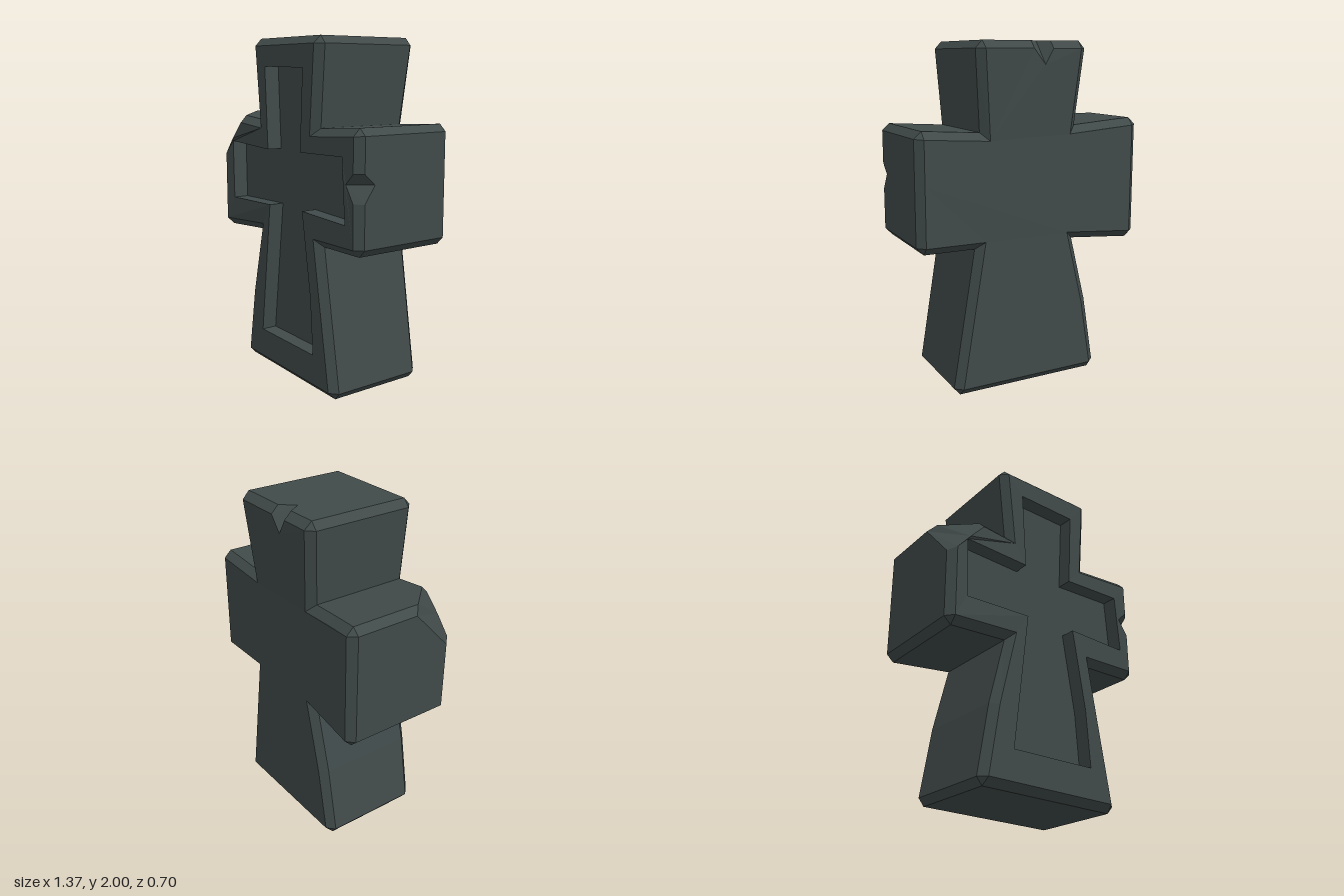
import * as THREE from 'three';

const BEVEL = 0.043;
const V2 = (x, y) => new THREE.Vector2(x, y);

// Cross outline, counter-clockwise from the top right: x, y, front z, back z, convex
const corners = [
  [0.345, 2.0, 0.34, -0.352, 1], [-0.335, 2.0, 0.34, -0.345, 1],
  [-0.288, 1.528, 0.34, -0.315, 0],
  [-0.685, 1.565, 0.352, -0.345, 1], [-0.685, 0.838, 0.352, -0.345, 1],
  [-0.285, 0.86, 0.34, -0.31, 0],
  [-0.46, 0.025, 0.34, -0.30, 1], [0.475, 0.0, 0.34, -0.30, 1],
  [0.335, 0.855, 0.34, -0.305, 0],
  [0.68, 0.855, 0.34, -0.31, 1], [0.68, 1.53, 0.34, -0.31, 1],
  [0.303, 1.507, 0.34, -0.31, 0],
];

// Extra points on the edge after a corner; overrides carve the chips
const extras = {
  0: [ // notch in the top back edge
    { x: 0.01, y: 2 }, { x: -0.06, y: 2, backSideZ: -0.23, back: [-0.06, 1.87] }, { x: -0.11, y: 2 },
  ],
  2: [{ x: -0.47, y: 1.545, front: [-0.465, 1.502] }], // broken arm corner
  3: [{ x: -0.685, y: 1.28, front: [-0.642, 1.3] }],
  5: [{ x: -0.383, y: 0.47 }],
  9: [ // notch in the arm's front edge
    { x: 0.68, y: 1.14 }, { x: 0.68, y: 1.235, frontSideZ: 0.23, front: [0.575, 1.235] }, { x: 0.68, y: 1.295 },
  ],
};

// Carved panel outline
const panel = [
  [0.195, 1.83], [-0.185, 1.838], [-0.163, 1.36], [-0.57, 1.382], [-0.565, 1.025], [-0.15, 1.032],
  [-0.25, 0.235], [0.28, 0.225], [0.258, 0.56], [0.182, 1.04], [0.57, 1.02], [0.545, 1.375], [0.167, 1.368],
];

// Four rings from back to front: back face, back side, front side, front face
function buildRings() {
  const rings = [[], [], [], []];
  const n = corners.length;
  const pos = corners.map(([x, y]) => V2(x, y));
  const dirs = pos.map((p, i) => pos[(i + 1) % n].clone().sub(p).normalize());
  const inward = dirs.map(d => V2(-d.y, d.x));
  const add = (side, inset, zf, zb, o = {}) => {
    const front = o.front || [inset.x, inset.y];
    const back = o.back || [inset.x, inset.y];
    rings[0].push(new THREE.Vector3(...back, zb));
    rings[1].push(new THREE.Vector3(side.x, side.y, o.backSideZ ?? zb + BEVEL));
    rings[2].push(new THREE.Vector3(side.x, side.y, o.frontSideZ ?? zf - BEVEL));
    rings[3].push(new THREE.Vector3(...front, zf));
  };
  corners.forEach(([, , zf, zb, convex], i) => {
    const p = pos[i], prev = (i + n - 1) % n;
    const mitre = inward[i].clone().add(inward[prev]).multiplyScalar(BEVEL / (1 + inward[i].dot(inward[prev])));
    const inset = p.clone().add(mitre);
    if (convex) {
      const chip = i === 3 ? [-0.557, 1.4] : undefined;
      add(p.clone().addScaledVector(dirs[prev], -BEVEL), inset, zf, zb, { front: chip, frontSideZ: chip && 0.12 });
      add(p.clone().addScaledVector(dirs[i], BEVEL), inset, zf, zb, { front: chip, frontSideZ: chip && 0.08 });
    } else add(p, inset, zf, zb);
    const next = corners[(i + 1) % n];
    for (const e of extras[i] || []) {
      const q = V2(e.x, e.y);
      const t = q.distanceTo(p) / pos[(i + 1) % n].distanceTo(p);
      add(q, q.clone().addScaledVector(inward[i], BEVEL),
        THREE.MathUtils.lerp(zf, next[2], t), THREE.MathUtils.lerp(zb, next[3], t), e);
    }
  });
  return rings;
}

// Adds a triangle unless it is degenerate
function tri(out, a, b, c) {
  const area = b.clone().sub(a).cross(c.clone().sub(a)).length();
  if (area > 1e-7) out.push(a, b, c);
}

// Joins two closed rings with quads
function strip(out, r0, r1) {
  r0.forEach((a, i) => {
    const j = (i + 1) % r0.length;
    tri(out, a, r0[j], r1[j]);
    tri(out, a, r1[j], r1[i]);
  });
}

// Fills a ring, optionally around a hole, facing +z or -z
function cap(out, ring, facing, hole) {
  const clean = ring.filter((p, i) => p.distanceTo(ring[(i + 1) % ring.length]) > 1e-6);
  const flat = pts => pts.map(p => V2(p.x, p.y));
  const all = hole ? [...clean, ...hole] : clean;
  for (const f of THREE.ShapeUtils.triangulateShape(flat(clean), hole ? [flat(hole)] : [])) {
    const [a, b, c] = f.map(k => all[k]);
    const ccw = (b.x - a.x) * (c.y - a.y) - (b.y - a.y) * (c.x - a.x) > 0;
    if (ccw === facing > 0) tri(out, a, b, c);
    else tri(out, a, c, b);
  }
}

export function createModel() {
  const group = new THREE.Group();
  group.name = 'stoneCross';
  const stone = new THREE.MeshStandardMaterial({ color: 0x404a49, flatShading: true });
  const addMesh = (name, points) => {
    const geometry = new THREE.BufferGeometry().setFromPoints(points);
    geometry.computeVertexNormals();
    const mesh = new THREE.Mesh(geometry, stone);
    mesh.name = name;
    group.add(mesh);
  };

  const rings = buildRings();
  const lip = panel.map(([x, y]) => new THREE.Vector3(x, y, 0.342));
  const floor = panel.map(([x, y]) => new THREE.Vector3(x * 0.995, y, 0.25));

  // Bevelled block with its back
  const body = [];
  for (let i = 0; i < 3; i++) strip(body, rings[i], rings[i + 1]);
  cap(body, rings[0], -1);
  addMesh('crossBody', body);

  // Raised border around the panel
  const border = [];
  cap(border, rings[3], 1, lip);
  addMesh('frontBorder', border);

  // Sunken panel
  const recess = [];
  strip(recess, lip, floor);
  cap(recess, floor, 1);
  addMesh('carvedPanel', recess);

  return group;
}
